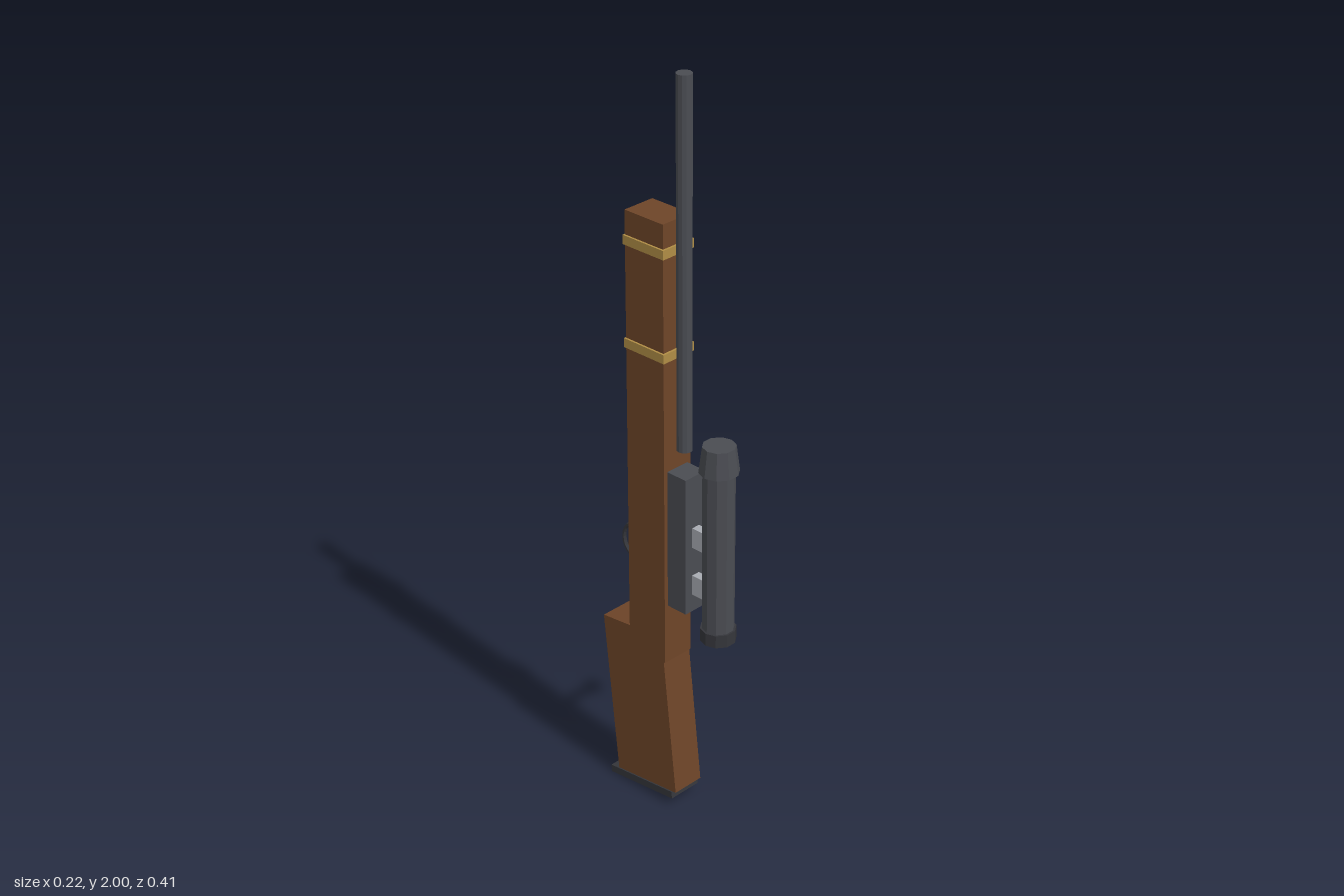
import * as THREE from 'three';

const CX = -0.06; // shared centre line of all long parts

const mat = (color) => new THREE.MeshStandardMaterial({ color, flatShading: true });

export function createModel() {
  const model = new THREE.Group();
  const wood = mat(0x6e4528), steel = mat(0x4a4c52), dark = mat(0x35363b);
  const brass = mat(0xb08d45), silver = mat(0xa8abb2);

  const add = (name, geometry, material, x, y, z) => {
    const mesh = new THREE.Mesh(geometry, material);
    mesh.name = name;
    mesh.position.set(x, y, z);
    model.add(mesh);
    return mesh;
  };
  const box = (name, w, h, d, material, y, z) =>
    add(name, new THREE.BoxGeometry(w, h, d), material, CX, y, z);
  // upright cylinder between two heights
  const rod = (name, rTop, rBottom, y0, y1, z, sides, material) => {
    const mesh = add(name, new THREE.CylinderGeometry(rTop, rBottom, y1 - y0, sides), material, CX, (y0 + y1) / 2, z);
    mesh.rotation.y = Math.PI / 2;
    return mesh;
  };

  // wooden stock: straight fore part and tilted butt with its end plate
  box('foreStock', 0.092, 1.205, 0.125, wood, 1.0325, -0.047);
  const tilt = -0.105;
  box('buttStock', 0.092, 0.456, 0.208, wood, 0.262, -0.076).rotation.x = tilt;
  box('buttPlate', 0.096, 0.02, 0.222, dark, 0.0217, -0.0715).rotation.x = tilt;

  // brass bands
  for (const y of [1.29, 1.56]) box('stockBand', 0.103, 0.024, 0.133, brass, y, -0.045);

  // barrel and receiver
  rod('barrel', 0.02, 0.02, 1.035, 2, 0.04, 12, steel);
  box('receiver', 0.07, 0.381, 0.074, steel, 0.7865, 0.04);

  // scope with flared front, eyepiece and two mounts
  const scopeZ = 0.155;
  rod('scopeTube', 0.041, 0.041, 0.56, 1.03, scopeZ, 10, steel);
  rod('scopeBell', 0.042, 0.051, 1.02, 1.09, scopeZ, 10, steel);
  rod('scopeEyepiece', 0.046, 0.046, 0.545, 0.58, scopeZ, 10, dark);
  for (const y of [0.672, 0.807]) box('scopeMount', 0.024, 0.055, 0.06, silver, y, 0.1);

  // bolt handle with knob
  const handle = add('boltHandle', new THREE.CylinderGeometry(0.0125, 0.0125, 0.135, 10), silver, 0.0075, 0.65, 0.039);
  handle.rotation.z = Math.PI / 2;
  add('boltKnob', new THREE.SphereGeometry(0.024, 8, 6), silver, 0.086, 0.65, 0.039);

  // oval trigger guard and trigger
  const guard = add('triggerGuard', new THREE.TorusGeometry(0.045, 0.006, 6, 20), dark, CX, 0.708, -0.137);
  guard.rotation.y = Math.PI / 2;
  guard.scale.set(0.77, 1, 1);
  box('trigger', 0.01, 0.008, 0.042, silver, 0.7, -0.125).rotation.x = 0.42;

  return model;
}
